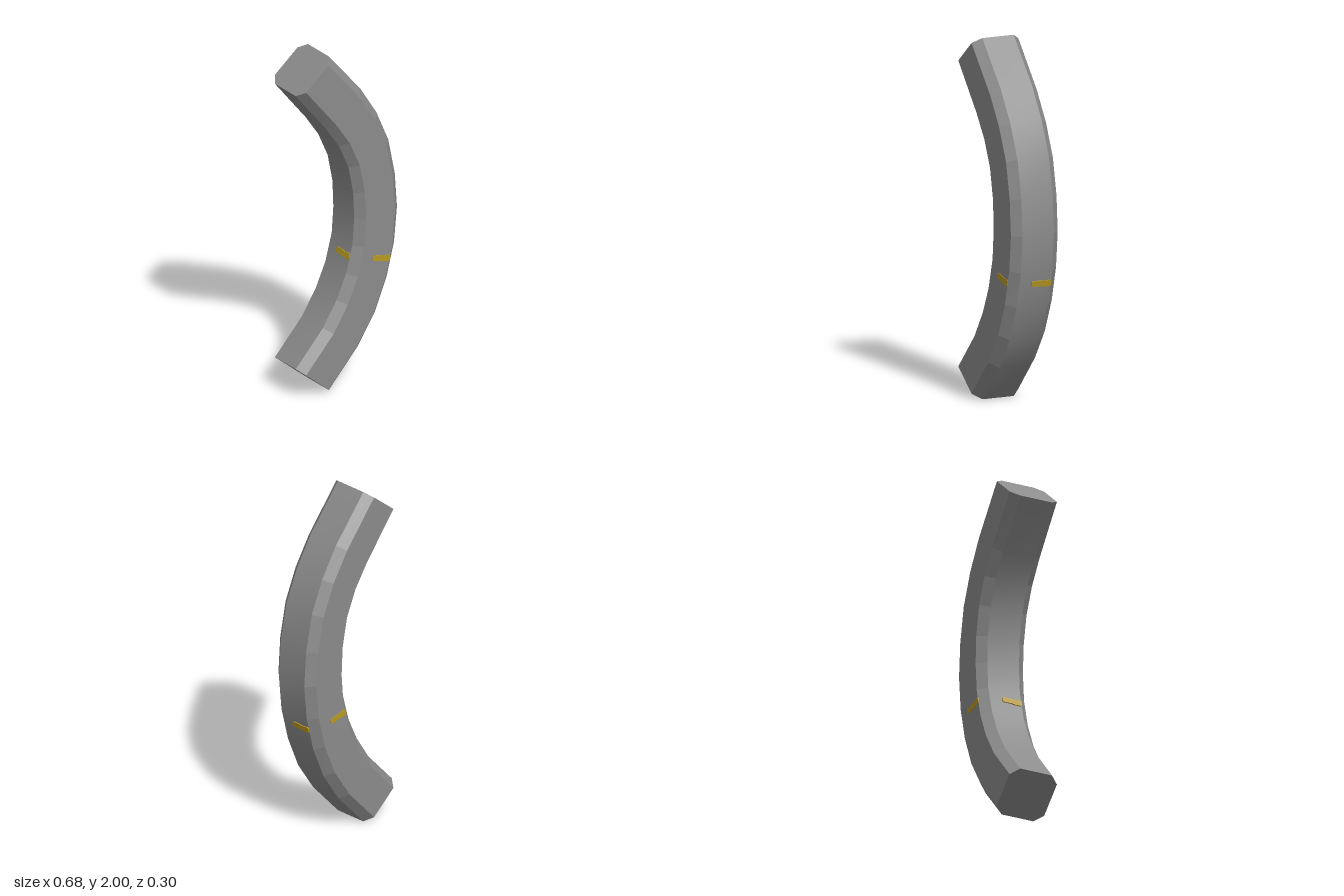
import * as THREE from 'three';
import { mergeGeometries } from 'three/addons/utils/BufferGeometryUtils.js';

// Stations along the bend, bottom to top: [inner x, inner y, outer x, outer y]
const STATIONS = [
  [-0.338, 0.184, -0.118, 0], [-0.157, 0.382, 0.072, 0.207],
  [-0.066, 0.525, 0.188, 0.382], [-0.003, 0.665, 0.267, 0.573],
  [0.04, 0.826, 0.317, 0.771], [0.051, 0.982, 0.337, 0.978],
  [0.045, 1.137, 0.322, 1.184], [0.013, 1.3, 0.279, 1.395],
  [-0.05, 1.443, 0.199, 1.58], [-0.135, 1.567, 0.092, 1.75],
  [-0.338, 1.82, -0.119, 2],
];

// Chamfered square section: [fraction from inner to outer edge, z]
const SECTION = [
  [1, 0.097], [1, -0.097], [0.84, -0.145], [0.16, -0.145],
  [0, -0.097], [0, 0.097], [0.16, 0.145], [0.84, 0.145],
];

function surface(points, index, flat) {
  const geo = new THREE.BufferGeometry();
  geo.setAttribute('position', new THREE.Float32BufferAttribute(points.flat(), 3));
  geo.setIndex(index);
  if (!flat) geo.computeVertexNormals();
  const out = geo.toNonIndexed();
  if (flat) out.computeVertexNormals();
  return out;
}

function barGeometry() {
  const rings = STATIONS.map(([ix, iy, ox, oy]) =>
    SECTION.map(([t, z]) => [ix + (ox - ix) * t, iy + (oy - iy) * t, z]));
  const n = SECTION.length;
  const parts = [];
  // One strip per side: broad sides smooth along the bend, chamfers faceted
  for (let j = 0; j < n; j++) {
    const points = [], index = [];
    rings.forEach((ring, i) => {
      points.push(ring[j], ring[(j + 1) % n]);
      if (i === 0) return;
      const a = 2 * (i - 1);
      index.push(a, a + 1, a + 3, a, a + 3, a + 2);
    });
    parts.push(surface(points, index, j % 2 === 1));
  }
  // End caps
  const top = [], bottom = [];
  for (let k = 1; k < n - 1; k++) {
    top.push(0, k, k + 1);
    bottom.push(0, k + 1, k);
  }
  parts.push(surface(rings[rings.length - 1], top, true));
  parts.push(surface(rings[0], bottom, true));
  return mergeGeometries(parts);
}

// Small painted dash, a little wider towards one edge of its side
function dashGeometry() {
  const shape = new THREE.Shape([
    [-0.022, -0.008], [-0.014, -0.016], [0.035, -0.016], [0.05, -0.02],
    [0.09, -0.02], [0.098, -0.012], [0.098, 0.014], [0.09, 0.018],
    [0.05, 0.013], [0.035, 0.017], [-0.014, 0.017], [-0.022, 0.01],
  ].map(([x, y]) => new THREE.Vector2(x, y)));
  return new THREE.ExtrudeGeometry(shape, { depth: 0.006, bevelEnabled: false });
}

export function createModel() {
  const grey = new THREE.MeshStandardMaterial({ color: 0x8c8c8c });
  grey.name = 'grey';
  const gold = new THREE.MeshStandardMaterial({ color: 0xb89a22 });
  gold.name = 'gold';

  const model = new THREE.Group();
  model.name = 'curvedBar';
  const bar = new THREE.Mesh(barGeometry(), grey);
  bar.name = 'bar';
  model.add(bar);

  // Four dashes around the lower half, one on each broad side
  const angle = -0.21, radius = 1.187;
  const marks = new THREE.Group();
  marks.name = 'goldMarks';
  marks.position.set(-1 + radius * Math.cos(angle), 0.98 + radius * Math.sin(angle), 0);
  marks.rotation.z = angle;
  const dash = dashGeometry().translate(0, 0, 0.142);
  for (let k = 0; k < 4; k++) {
    const mark = new THREE.Mesh(dash, gold);
    mark.name = 'goldMark' + (k + 1);
    mark.rotation.y = k * Math.PI / 2;
    marks.add(mark);
  }
  model.add(marks);
  return model;
}
